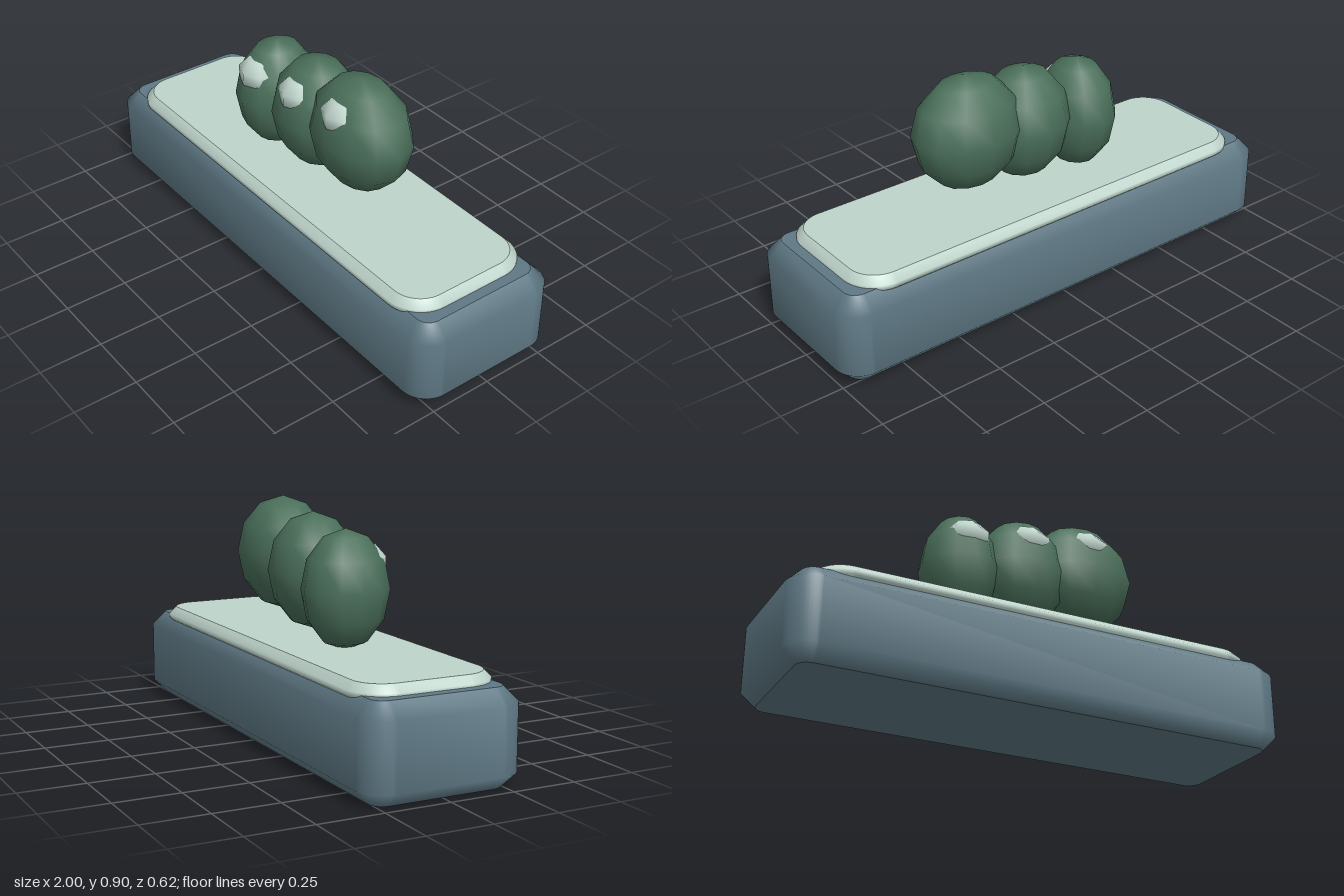
import * as THREE from 'three';
import { mergeVertices, mergeGeometries } from 'three/addons/utils/BufferGeometryUtils.js';

// Rounded rectangle slab with a single chamfer; flat caps and smooth sides
function chamferedSlab(halfX, halfZ, radius, y0, y1, chamfer) {
  const x = halfX - chamfer, z = halfZ - chamfer, r = radius;
  const shape = new THREE.Shape();
  shape.absarc(x - r, z - r, r, 0, Math.PI / 2);
  shape.absarc(-x + r, z - r, r, Math.PI / 2, Math.PI);
  shape.absarc(-x + r, -z + r, r, Math.PI, Math.PI * 1.5);
  shape.absarc(x - r, -z + r, r, Math.PI * 1.5, Math.PI * 2);
  shape.closePath();
  const solid = new THREE.ExtrudeGeometry(shape, {
    depth: y1 - y0 - 2 * chamfer, bevelEnabled: true, bevelSegments: 1,
    bevelSize: chamfer, bevelThickness: chamfer, curveSegments: 6,
  });
  // Weld caps and sides separately so only the sides share normals
  const pieces = solid.groups.map(({ start, count }) => {
    const piece = new THREE.BufferGeometry();
    const points = solid.attributes.position.array.slice(start * 3, (start + count) * 3);
    piece.setAttribute('position', new THREE.BufferAttribute(points, 3));
    const welded = mergeVertices(piece, 1e-4);
    welded.computeVertexNormals();
    return welded;
  });
  return mergeGeometries(pieces).rotateX(-Math.PI / 2).translate(0, y0 + chamfer, 0);
}

export function createModel() {
  const model = new THREE.Group();
  model.name = 'beadsOnBlock';
  const slate = new THREE.MeshStandardMaterial({ name: 'slate blue', color: 0x5f7985 });
  const mint = new THREE.MeshStandardMaterial({ name: 'pale mint', color: 0xbed4cb });
  const green = new THREE.MeshStandardMaterial({ name: 'deep green', color: 0x4a6f5a });

  const add = (name, geometry, material, parent = model) => {
    const mesh = new THREE.Mesh(geometry, material);
    mesh.name = name;
    parent.add(mesh);
    return mesh;
  };

  // Base block and inset top plate
  add('base', chamferedSlab(1, 0.31, 0.05, 0, 0.355, 0.055), slate);
  add('topPlate', chamferedSlab(0.905, 0.278, 0.11, 0.318, 0.392, 0.028), mint);

  // Three overlapping beads, widening and rising toward +x, each with a highlight
  const beadShape = new THREE.SphereGeometry(1, 12, 6);
  const glintShape = new THREE.SphereGeometry(1, 8, 5);
  [['right', -0.26, 0.603, 0.15], ['middle', 0, 0.64, 0.19], ['left', 0.26, 0.678, 0.228]]
    .forEach(([side, x, y, width]) => {
      const group = new THREE.Group();
      group.name = side + 'BeadGroup';
      group.position.set(x, y, 0);
      model.add(group);
      add(side + 'Bead', beadShape, green, group).scale.set(width, 0.225, 0.17);
      const glint = add(side + 'Highlight', glintShape, mint, group);
      glint.scale.set(0.1, 0.076, 0.1);
      glint.position.set(0, 0.099, 0.065);
    });

  return model;
}
